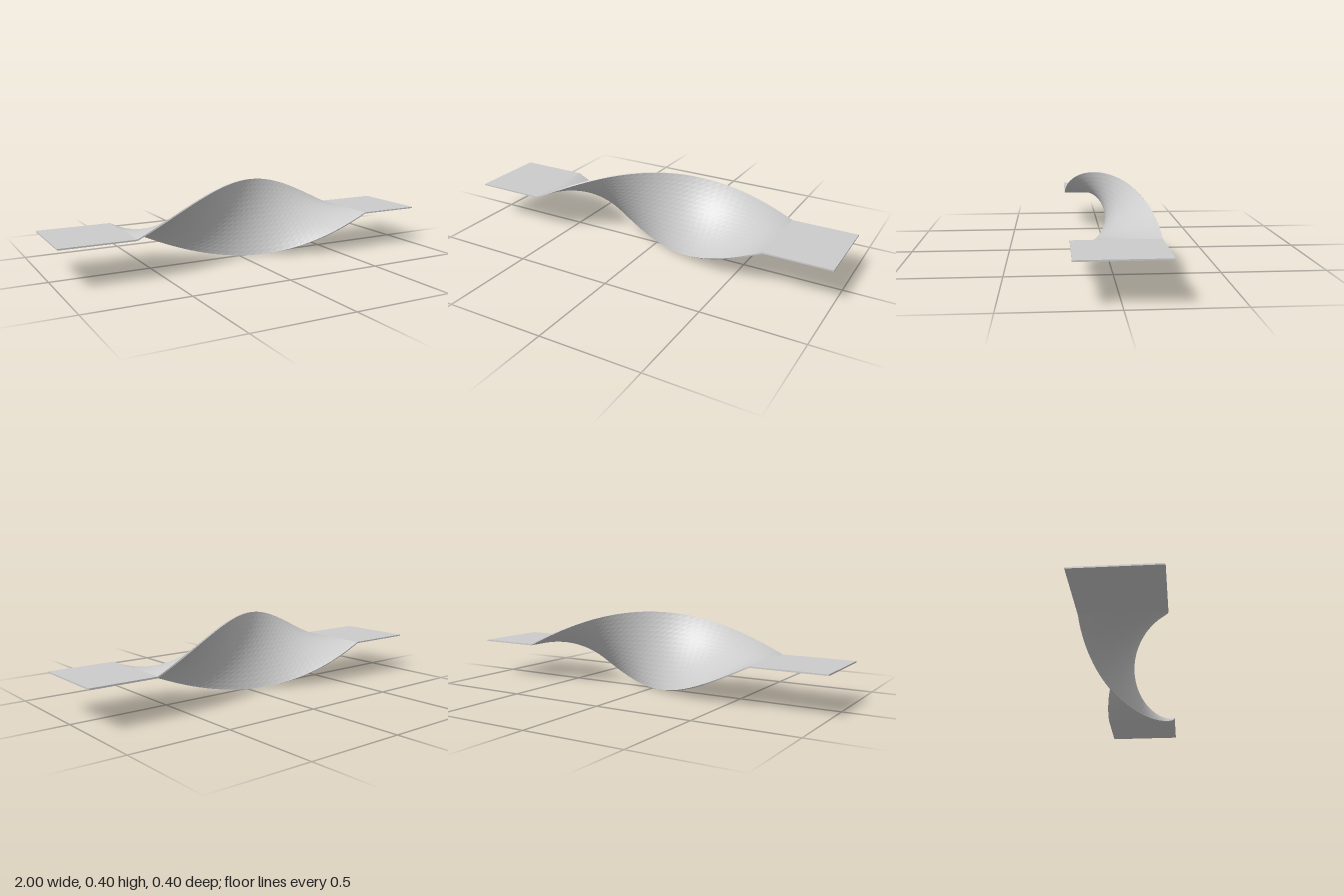
import * as THREE from 'three';

const LENGTH = 2, WIDTH = 0.4, THICKNESS = 0.007, SEGMENTS = 60, STRIPS = 16;
const TWIST_START = -0.633, TWIST_END = 0.667, CENTER_Y = 0.2;

export function createModel() {
  const model = new THREE.Group();
  model.name = 'twistedStrip';

  // Thin flat bar, turned half a revolution about its long axis between two flat ends;
  // the strips across its width keep the two faces apart in the twist
  const bar = new THREE.BoxGeometry(LENGTH, THICKNESS, WIDTH, SEGMENTS, 1, STRIPS);
  const pos = bar.attributes.position;
  for (let i = 0; i < pos.count; i++) {
    const x = pos.getX(i), y = pos.getY(i), z = pos.getZ(i);
    const t = THREE.MathUtils.clamp((TWIST_END - x) / (TWIST_END - TWIST_START), 0, 1);
    const c = Math.cos(t * Math.PI), s = Math.sin(t * Math.PI);
    pos.setXYZ(i, x, CENTER_Y + y * c - z * s, y * s + z * c);
  }

  // Faceted bands along the twist
  const geometry = bar.toNonIndexed();
  geometry.computeVertexNormals();
  const material = new THREE.MeshStandardMaterial({ color: 0xcccccc, flatShading: true });
  const strip = new THREE.Mesh(geometry, material);
  strip.name = 'strip';
  model.add(strip);
  return model;
}
